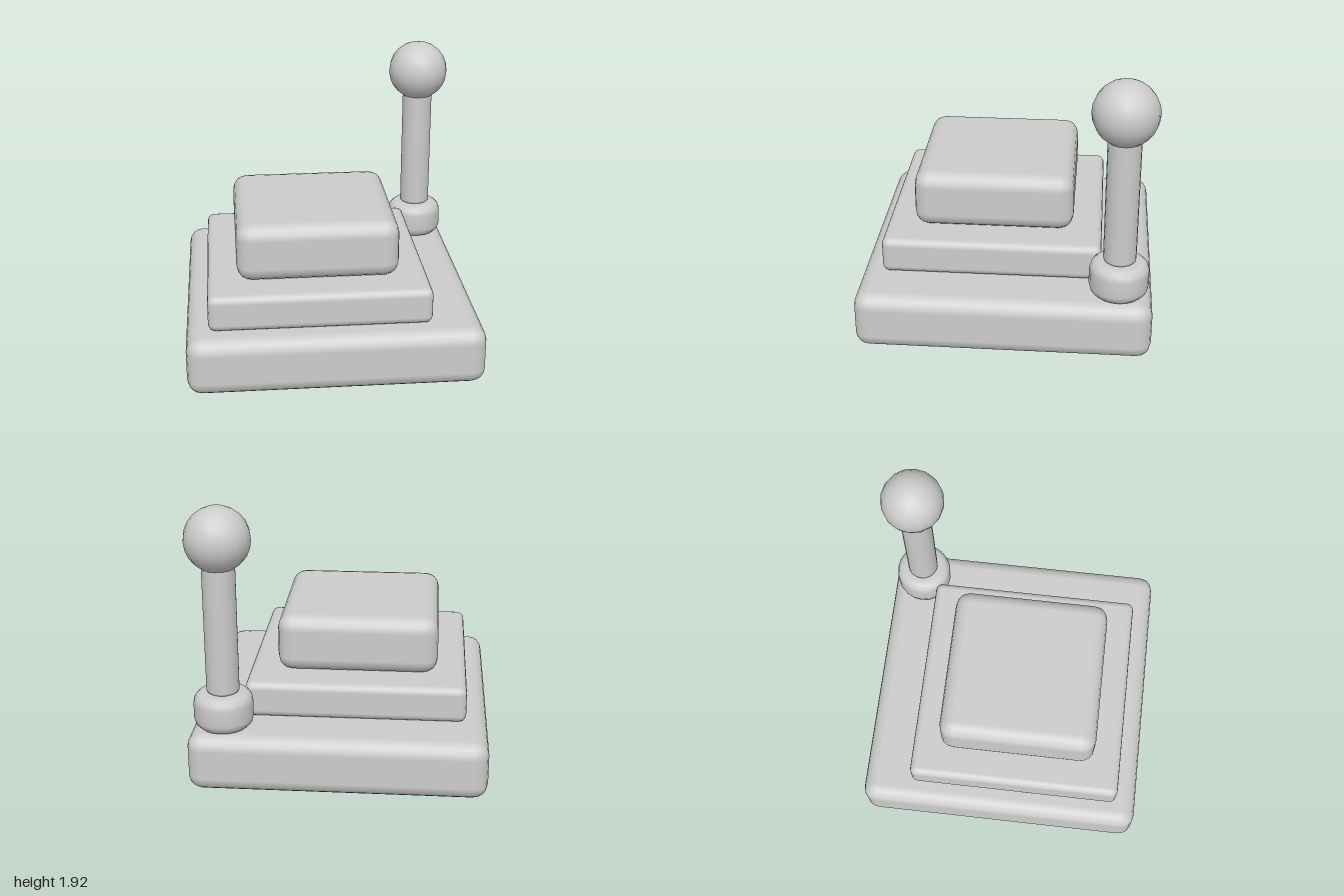
import * as THREE from 'three';
import { RoundedBoxGeometry } from 'three/addons/geometries/RoundedBoxGeometry.js';

export function createModel() {
  const group = new THREE.Group();
  const grey = new THREE.MeshStandardMaterial({ color: 0xcccccc });
  grey.name = 'grey';

  function add(name, geometry, x, y, z) {
    const mesh = new THREE.Mesh(geometry, grey);
    mesh.name = name;
    mesh.position.set(x, y, z);
    group.add(mesh);
  }

  // Square tier with softly rounded edges, standing on height y
  function tier(name, size, height, radius, x, y, z) {
    add(name, new RoundedBoxGeometry(size, height, size, 2, radius), x, y + height / 2, z);
  }

  // Upright cylinder with rounded rims, standing on height y
  function roundedCylinder(name, radius, height, bevel, x, y, z) {
    const profile = [new THREE.Vector2(0, 0)];
    const steps = 3;
    for (const [cy, start] of [[bevel, -Math.PI / 2], [height - bevel, 0]]) {
      for (let i = 0; i <= steps; i++) {
        const a = start + (i / steps) * Math.PI / 2;
        profile.push(new THREE.Vector2(radius - bevel + bevel * Math.cos(a), cy + bevel * Math.sin(a)));
      }
    }
    profile.push(new THREE.Vector2(0, height));
    add(name, new THREE.LatheGeometry(profile, 20), x, y, z);
  }

  // Stepped tiers
  tier('base', 2, 0.4, 0.1, 0, 0, 0);
  tier('middleTier', 1.5, 0.25, 0.05, -0.1, 0.4, 0.1);
  tier('topTier', 1.1, 0.4, 0.1, -0.1, 0.65, 0.1);

  // Corner post: collar, pole and ball
  const px = 0.77, pz = -0.77;
  roundedCylinder('collar', 0.2, 0.25, 0.07, px, 0.4, pz);
  roundedCylinder('pole', 0.11, 0.9, 0.02, px, 0.65, pz);
  add('ball', new THREE.SphereGeometry(0.218, 16, 12), px, 1.703, pz);

  return group;
}
